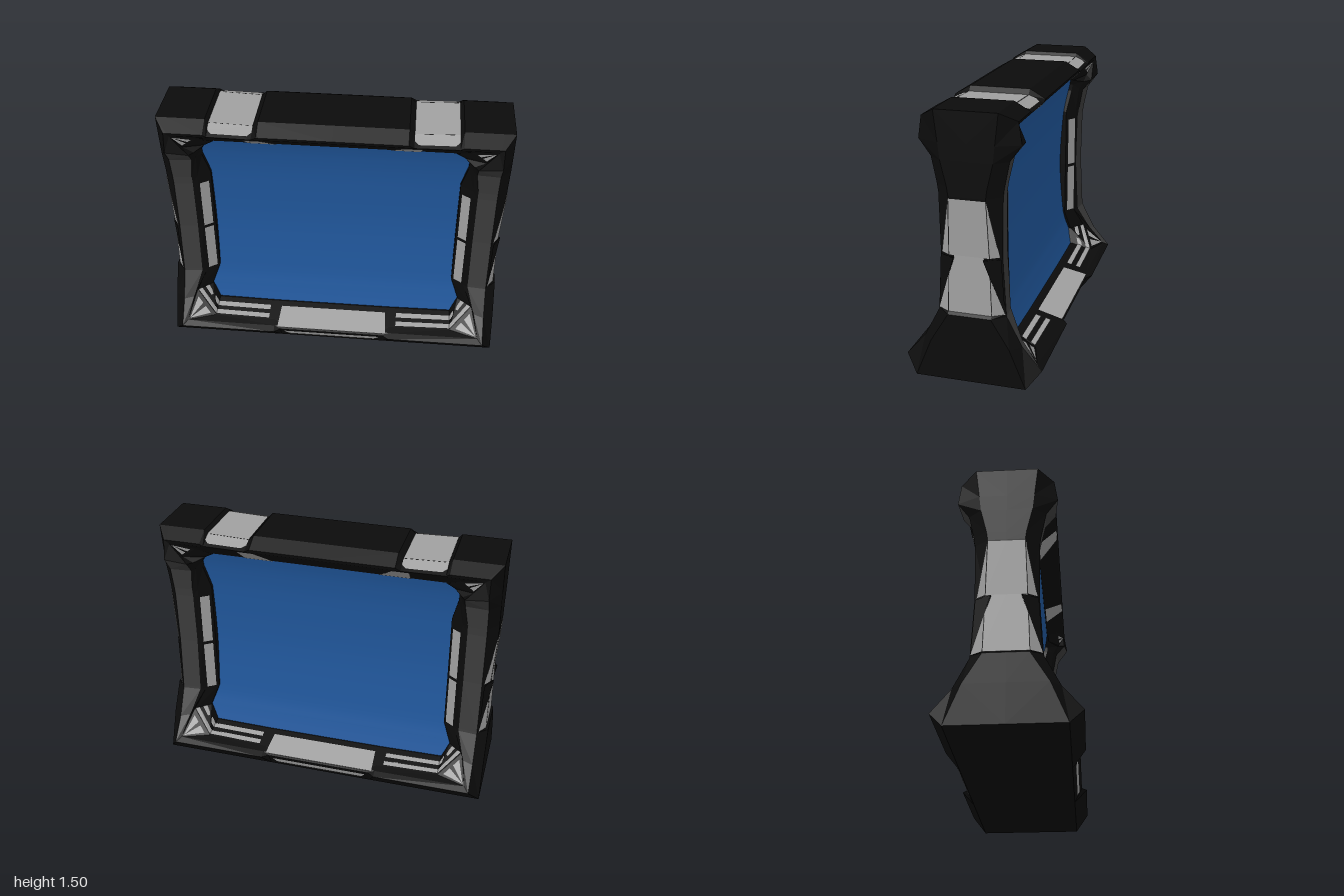
import * as THREE from 'three';

const V = (x, y, z) => new THREE.Vector3(x, y, z);
const mix = (a, b, t) => a.clone().lerp(b, t);

// Flat-shaded mesh from polygons in the +x +z quarter, mirrored to all four quarters
function mirrored(name, polys, color) {
  const pos = [];
  for (const sx of [1, -1]) for (const sz of [1, -1]) {
    for (const poly of polys) {
      for (let i = 1; i < poly.length - 1; i++) {
        const tri = [poly[0], poly[i], poly[i + 1]];
        if (sx * sz < 0) tri.reverse();
        for (const p of tri) pos.push(p.x * sx, p.y, p.z * sz);
      }
    }
  }
  const g = new THREE.BufferGeometry();
  g.setAttribute('position', new THREE.Float32BufferAttribute(pos, 3));
  g.computeVertexNormals();
  const mesh = new THREE.Mesh(g, new THREE.MeshStandardMaterial({ color, flatShading: true, side: THREE.DoubleSide }));
  mesh.name = name;
  return mesh;
}

// Polygon lifted slightly off the surface it lies on, facing dir
function inlay(points, dir = V(0, 0, 1), lift = 0.004) {
  const [a, b, c] = points;
  const n = b.clone().sub(a).cross(c.clone().sub(a)).normalize();
  const flip = n.dot(dir) < 0;
  if (flip) n.negate();
  const out = points.map(p => p.clone().addScaledVector(n, lift));
  return flip ? out.reverse() : out;
}

// Frame sections, each five points from the outer edge (0), rim (1), rim inside (2),
// recess (3) to the opening (4)
const sill = (x, rimZ) => [V(x, 0, 0.31), V(x, 0.09, rimZ), V(x, 0.105, Math.min(0.345, rimZ - 0.02)),
  V(x, 0.115, 0.3), V(x, 0.15, 0.165)];
const beam = (x, drop) => [V(x, 1.5 - drop, 0.17), V(x, 1.45 - drop / 2, 0.258), V(x, 1.43, 0.25),
  V(x, 1.387, 0.197), V(x, 1.34, 0.14)];
const post = (y, x, zOuter, zRim) => [V(x, y, zOuter), V(0.94, y, zRim), V(0.83, y, zRim - 0.01),
  V(0.8, y, 0.158), V(0.73, y, 0.108)];

function frameSections() {
  return [
    sill(0, 0.355), sill(0.32, 0.355), sill(0.36, 0.385),
    // bottom corner and flare
    [V(1, 0, 0.31), V(0.94, 0.09, 0.385), V(0.91, 0.112, 0.35), V(0.74, 0.12, 0.295), V(0.735, 0.155, 0.165)],
    [V(1, 0.22, 0.22), V(0.94, 0.22, 0.275), V(0.88, 0.23, 0.258), V(0.865, 0.25, 0.215), V(0.78, 0.25, 0.14)],
    // post, stepped where the side plates sit
    post(0.385, 1, 0.12, 0.19), post(0.4, 0.983, 0.12, 0.188), post(0.73, 0.98, 0.11, 0.17),
    post(1.05, 1, 0.1, 0.175), post(1.1, 1, 0.107, 0.182),
    // top flare and corner
    [V(1, 1.24, 0.14), V(0.94, 1.24, 0.21), V(0.81, 1.24, 0.2), V(0.79, 1.25, 0.18), V(0.765, 1.24, 0.135)],
    [V(1, 1.33, 0.15), V(0.94, 1.33, 0.275), V(0.81, 1.31, 0.258), V(0.79, 1.3, 0.21), V(0.765, 1.28, 0.14)],
    [V(1, 1.5, 0.17), V(0.94, 1.45, 0.257), V(0.91, 1.425, 0.25), V(0.85, 1.335, 0.215), V(0.74, 1.315, 0.15)],
    [V(0.94, 1.5, 0.17), V(0.92, 1.45, 0.258), V(0.89, 1.43, 0.25), V(0.77, 1.39, 0.205), V(0.69, 1.34, 0.145)],
    beam(0.72, 0), beam(0.7, 0.022), beam(0.45, 0.03), beam(0.42, 0), beam(0, 0),
  ];
}

export function createModel() {
  const model = new THREE.Group();
  const S = frameSections();
  const BLACK = 0x0b0b0b, TRIM = 0x3c3c3c, GREY = 0xa0a0a0;

  // Frame body: outer wall, chamfers, recess and the return behind the opening edge
  const body = [], rim = [];
  for (let i = 0; i < S.length - 1; i++) {
    const full = [S[i], S[i + 1]].map(s => [
      V(s[0].x, s[0].y, 0), ...s, V(s[4].x, s[4].y, s[4].z - 0.07)]);
    for (let k = 0; k < 6; k++) {
      const quad = [full[0][k], full[1][k], full[1][k + 1], full[0][k + 1]];
      (k === 2 && i > 2 && i < 11 ? rim : body).push(quad);
    }
  }
  model.add(mirrored('frameBody', body, BLACK), mirrored('postFaces', rim, TRIM));

  // Zigzag plates on the outer sides, folded over the chamfer
  const side = V(1, 0, 0.3);
  model.add(mirrored('sidePlates', [
    inlay([V(1, 1.04, 0), V(1, 1.04, 0.1), V(0.98, 0.725, 0.11), V(0.98, 0.725, 0)], side),
    inlay([V(1, 1.04, 0.1), V(0.98, 0.725, 0.11), V(0.949, 0.725, 0.157)], side),
    inlay([V(0.98, 0.725, 0), V(0.98, 0.725, 0.08), V(0.981, 0.61, 0.113), V(0.983, 0.4, 0.12),
      V(0.983, 0.4, 0)], side),
    inlay([V(0.981, 0.61, 0.113), V(0.983, 0.4, 0.12), V(0.944, 0.4, 0.182)], side),
  ], GREY));

  // Raised spikes that cut into the plates
  const spike = [V(0.998, 0.715, 0.08), V(0.952, 0.715, 0.165), V(0.947, 0.4, 0.183)];
  model.add(mirrored('sideSpikes', [
    inlay(spike, side, 0.002), [spike[0], spike[1], V(0.98, 0.715, 0.11), V(0.98, 0.715, 0.08)],
    [spike[0], V(0.98, 0.715, 0.08), V(0.981, 0.61, 0.113), spike[2]],
  ], BLACK));

  // Bands over the top beam and its chamfer, continued on the underside
  const [outer, inner] = [S[15], S[16]];
  model.add(mirrored('topBands', [
    inlay([V(0.7, outer[0].y, 0), outer[0], inner[0], V(0.45, inner[0].y, 0)], V(0, 1, 0)),
    inlay([outer[0], mix(outer[0], outer[1], 0.5), mix(mix(outer[0], outer[1], 0.75), inner[1], 0.1),
      mix(mix(inner[0], inner[1], 0.75), outer[1], 0.1), mix(inner[0], inner[1], 0.5), inner[0]], V(0, 1, 1)),
    inlay([V(0.4, 1.43, 0.25), V(0.5, 1.43, 0.25), V(0.49, 1.344, 0.145), V(0.31, 1.344, 0.145)]),
  ], GREY));

  // Plate in the middle of the sill
  model.add(mirrored('sillPlate', [
    inlay([V(0, 0.137, 0.2), V(0.33, 0.137, 0.2), V(0.34, 0.1, 0.35), V(0, 0.1, 0.35)], V(0, 1, 0), 0.006),
    inlay([V(0, 0.105, 0.352), V(0.34, 0.105, 0.352), V(0.27, 0.03, 0.325), V(0, 0.03, 0.325)]),
  ], GREY));

  // Lamps on the inner faces of the posts
  const lamps = [[0.395, 0.71], [0.73, 1.045]].map(([a, b]) => inlay([
    V(0.793, a, 0.153), V(0.793, b, 0.153), V(0.745, b, 0.119), V(0.745, a, 0.119)]));
  model.add(mirrored('postLamps', lamps, GREY));

  // Stripes along the sill, bending up across the corners
  const stripes = [];
  const path = [sill(0.4, 0.385), S[3], S[4]];
  for (const [t0, t1] of [[0.04, 0.27], [0.48, 0.72]]) {
    for (let i = 0; i < 2; i++) {
      const [a, b] = [path[i], path[i + 1]];
      stripes.push(inlay([mix(a[3], a[4], t0), mix(b[3], b[4], t0), mix(b[3], b[4], t1), mix(a[3], a[4], t1)],
        V(-0.3, 1, 1), 0.008));
    }
  }
  model.add(mirrored('sillStripes', stripes, GREY));

  // Pairs of triangular facets in the four corners of the recess
  const facets = [];
  for (const i of [3, 12]) {
    const [a, b] = [S[i][3], S[i + 1][3]];
    const tip = mix(S[i][2], mix(a, b, 0.5), 0.1);
    for (const [t0, t1] of [[0.1, 0.42], [0.58, 0.88]]) {
      facets.push(inlay([tip, mix(tip, mix(a, b, t0), 0.85), mix(tip, mix(a, b, t1), 0.85)]));
    }
  }
  model.add(mirrored('cornerFacets', facets, GREY));

  // Smoothly curved blue panels, front and back
  const curve = new THREE.SplineCurve([[0.13, 0.16], [0.25, 0.126], [0.4, 0.096], [0.73, 0.07], [1.05, 0.085],
    [1.24, 0.112], [1.36, 0.145]].map(([y, z]) => new THREE.Vector2(y, z)));
  const panel = new THREE.PlaneGeometry(1.64, 1, 1, 32);
  const p = panel.attributes.position;
  for (let i = 0; i < p.count; i++) {
    const c = curve.getPoint(p.getY(i) + 0.5);
    p.setXYZ(i, p.getX(i), c.x, c.y);
  }
  panel.computeVertexNormals();
  const blue = new THREE.MeshStandardMaterial({ color: 0x20579c });
  for (const [name, turn] of [['frontPanel', 0], ['backPanel', Math.PI]]) {
    const mesh = new THREE.Mesh(panel, blue);
    mesh.name = name;
    mesh.rotation.y = turn;
    model.add(mesh);
  }
  return model;
}
